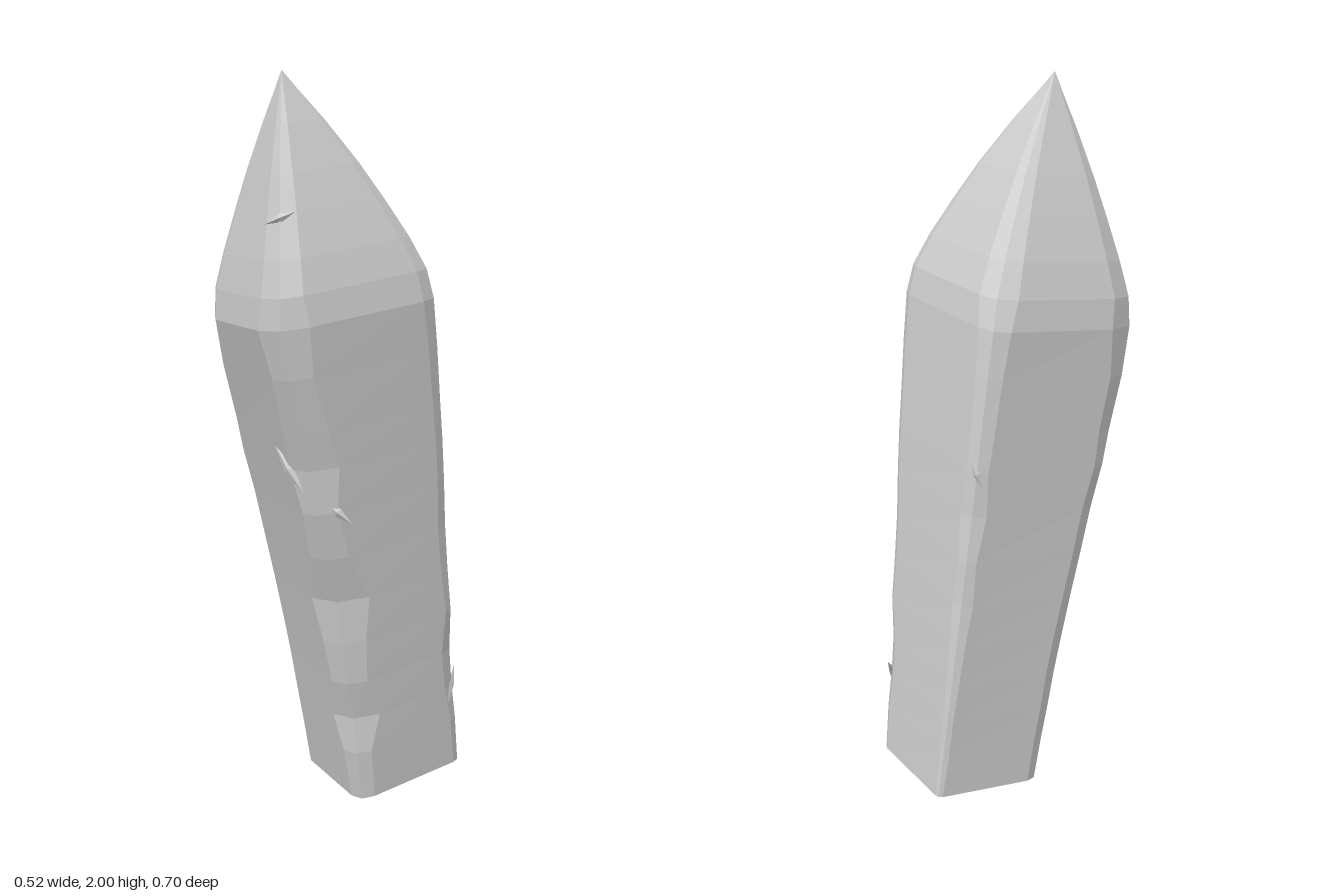
import * as THREE from 'three';

const V = (x, y, z) => new THREE.Vector3(x, y, z);

// Corners as [x, z], in the order front right-hand, front left-hand, back left-hand, back right-hand
const FOOT = [[-0.21, -0.025], [0.145, 0.05], [0.18, -0.3], [-0.14, -0.35]];
const SHOULDER = [[-0.275, 0.285], [0.2, 0.37], [0.275, -0.125], [-0.195, -0.195]];
const TIP = [0.015, 0.21];
const TILT = 0.155;

// Shaft levels: [height, bevel width at each of the four corners]
const SHAFT = [
  [0.03, 0.04, 0.05, 0.025, 0.015],
  [0.17, 0.045, 0.06, 0.03, 0.02],
  [0.27, 0.045, 0.1, 0.045, 0.02],
  [0.38, 0.05, 0.075, 0.05, 0.025],
  [0.5, 0.05, 0.09, 0.03, 0.03],
  [0.62, 0.05, 0.12, 0.04, 0.04],
  [0.75, 0.05, 0.08, 0.045, 0.035],
  [0.88, 0.055, 0.07, 0.04, 0.05],
  [1.0, 0.05, 0.1, 0.04, 0.04],
  [1.1, 0.065, 0.09, 0.045, 0.045],
  [1.25, 0.075, 0.08, 0.05, 0.05],
  [1.38, 0.11, 0.1, 0.06, 0.06],
];
// Point levels: [height, size relative to the shoulder]
const POINT = [[1.46, 0.95], [1.55, 0.83], [1.65, 0.67], [1.75, 0.5], [1.87, 0.27], [1.95, 0.1]];

// Tilted twelve-sided ring: each corner becomes a three-point bevel
function makeRing(corners, y, bevels) {
  const zc = corners.reduce((sum, c) => sum + c[1], 0) / 4;
  const ring = [];
  corners.forEach((c, i) => {
    const here = new THREE.Vector2(...c);
    const toward = (k) => new THREE.Vector2(...corners[(i + k) % 4]).sub(here).setLength(bevels[i]).add(here);
    const a = toward(3), b = toward(1);
    const mid = a.clone().add(b).multiplyScalar(0.5).lerp(here, 0.42);
    for (const p of [a, mid, b]) ring.push(V(p.x, y - TILT * (p.y - zc), p.y));
  });
  return ring;
}

function makeRings() {
  const rings = SHAFT.map(([y, ...bevels]) => {
    const t = (y - 0.03) / 1.35;
    const bow = 0.022 * Math.sin(Math.PI * t);
    const corners = FOOT.map((f, i) => [
      THREE.MathUtils.lerp(f[0], SHOULDER[i][0], t),
      THREE.MathUtils.lerp(f[1], SHOULDER[i][1], t) - (i < 2 ? bow : 0),
    ]);
    return makeRing(corners, y, bevels);
  });
  for (const [y, s] of POINT) {
    const corners = SHOULDER.map((c) => c.map((v, k) => TIP[k] + (v - TIP[k]) * s));
    rings.push(makeRing(corners, y, [0.095, 0.085, 0.06, 0.075].map((b) => b * s)));
  }
  return rings;
}

function skin(rings) {
  const pos = [];
  const tri = (...pts) => pts.forEach((p) => pos.push(p.x, p.y, p.z));
  const n = rings[0].length;
  const tip = V(TIP[0], 2, TIP[1]);
  const foot = rings[0].reduce((s, p) => s.add(p), V(0, 0, 0)).divideScalar(n);
  for (let i = 0; i < n; i++) {
    const j = (i + 1) % n;
    tri(foot, rings[0][j], rings[0][i]);
    for (let r = 0; r < rings.length - 1; r++) {
      const lo = rings[r], hi = rings[r + 1];
      tri(lo[i], lo[j], hi[j]);
      tri(lo[i], hi[j], hi[i]);
    }
    tri(rings[rings.length - 1][i], rings[rings.length - 1][j], tip);
  }
  const geo = new THREE.BufferGeometry();
  geo.setAttribute('position', new THREE.Float32BufferAttribute(pos, 3));
  geo.computeVertexNormals();
  return geo;
}

export function createModel() {
  const group = new THREE.Group();
  group.name = 'leaningStone';
  const stone = new THREE.MeshStandardMaterial({ color: 0xcccccc, flatShading: true });
  const rings = makeRings();

  const body = new THREE.Mesh(skin(rings), stone);
  body.name = 'stoneBody';
  group.add(body);

  // Small flakes along the worn edges: [ring, point, length, roll]
  const flakes = [[8, 3, 0.075, 0.65], [7, 5, 0.05, 0.9], [2, 7, 0.06, -0.6], [14, 4, 0.045, -1.2], [8, 10, 0.04, 0.4]];
  for (const [r, k, length, roll] of flakes) {
    const p = rings[r][k];
    const flake = new THREE.Mesh(new THREE.OctahedronGeometry(1), stone);
    flake.name = 'edgeFlake';
    flake.scale.set(length * 0.25, length, 0.008);
    flake.position.copy(p);
    flake.lookAt(p.x * 2, p.y, p.z * 2 - rings[r].reduce((s, q) => s + q.z, 0) / 12);
    flake.rotateZ(roll);
    group.add(flake);
  }
  return group;
}
